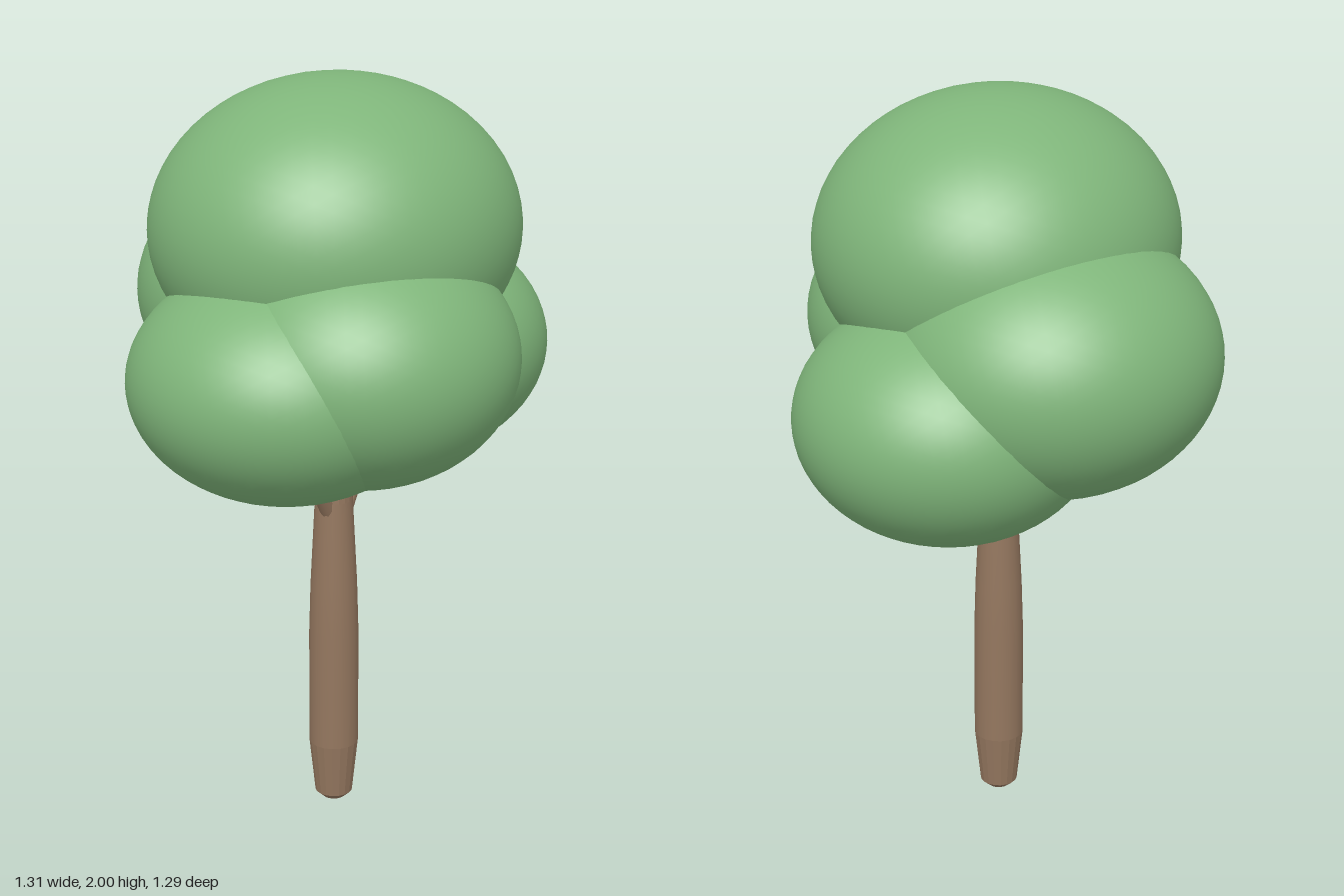
import * as THREE from 'three';

const leafMat = new THREE.MeshStandardMaterial({ color: 0x7fb57a });
const barkMat = new THREE.MeshStandardMaterial({ color: 0x94775f });
const flutedMat = new THREE.MeshStandardMaterial({ color: 0x94775f, flatShading: true });

const TRUNK_X = -0.025, TRUNK_Z = 0.03, SIDES = 18;

function add(group, name, geometry, material) {
  const mesh = new THREE.Mesh(geometry, material);
  mesh.name = name;
  group.add(mesh);
  return mesh;
}

// Turned section of trunk from [radius, height] pairs, bottom to top
function trunkSection(group, name, profile, material) {
  const points = profile.map(([r, y]) => new THREE.Vector2(r, y));
  const mesh = add(group, name, new THREE.LatheGeometry(points, SIDES), material);
  mesh.position.set(TRUNK_X, 0, TRUNK_Z);
}

// Tapered limb between two points
function branch(group, name, from, to, r0, r1) {
  const a = new THREE.Vector3(...from), b = new THREE.Vector3(...to);
  const dir = b.clone().sub(a);
  const mesh = add(group, name, new THREE.CylinderGeometry(r1, r0, dir.length(), 10), barkMat);
  mesh.position.copy(a).add(b).multiplyScalar(0.5);
  mesh.quaternion.setFromUnitVectors(new THREE.Vector3(0, 1, 0), dir.normalize());
}

export function createModel() {
  const tree = new THREE.Group();
  tree.name = 'tree';

  // Trunk: fluted foot, smooth stem, fluted neck running into the crown
  const trunk = new THREE.Group();
  trunk.name = 'trunk';
  tree.add(trunk);
  trunkSection(trunk, 'trunkFoot', [[0, 0], [0.03, 0.012], [0.05, 0.03], [0.066, 0.18]], flutedMat);
  trunkSection(trunk, 'trunkStem',
    [[0.066, 0.18], [0.066, 0.5], [0.062, 0.64], [0.055, 0.78], [0.05, 0.88]], barkMat);
  trunkSection(trunk, 'trunkNeck', [[0.05, 0.88], [0.042, 1.02], [0.032, 1.25], [0, 1.26]], flutedMat);

  // Limbs fanning out into each leaf clump
  const branches = new THREE.Group();
  branches.name = 'branches';
  tree.add(branches);
  branch(branches, 'leftBranch', [0.0, 0.8, 0.02], [0.2, 1.12, -0.05], 0.024, 0.018);
  branch(branches, 'rightBranch', [-0.04, 0.83, 0.04], [-0.2, 1.12, 0.1], 0.022, 0.016);
  branch(branches, 'frontBranch', [-0.035, 0.92, 0.05], [-0.06, 1.15, 0.14], 0.022, 0.018);
  branch(branches, 'backBranch', [-0.02, 0.9, 0.01], [0.01, 1.2, -0.12], 0.022, 0.016);

  // Crown: overlapping flattened clumps, as centre and radii
  const crown = new THREE.Group();
  crown.name = 'crown';
  tree.add(crown);
  const clumps = {
    topClump: [[-0.02, 1.615, 0.03], [0.48, 0.385, 0.458]],
    leftClump: [[0.26, 1.24, -0.07], [0.393, 0.308, 0.393]],
    rightClump: [[-0.255, 1.285, 0.15], [0.4, 0.3, 0.4]],
    frontClump: [[-0.1, 1.34, 0.245], [0.4, 0.32, 0.4]],
    backClump: [[0.05, 1.385, -0.22], [0.433, 0.345, 0.43]],
  };
  const ball = new THREE.IcosahedronGeometry(1, 10);
  for (const [name, [centre, radii]] of Object.entries(clumps)) {
    const clump = add(crown, name, ball, leafMat);
    clump.position.set(...centre);
    clump.scale.set(...radii);
  }
  return tree;
}
